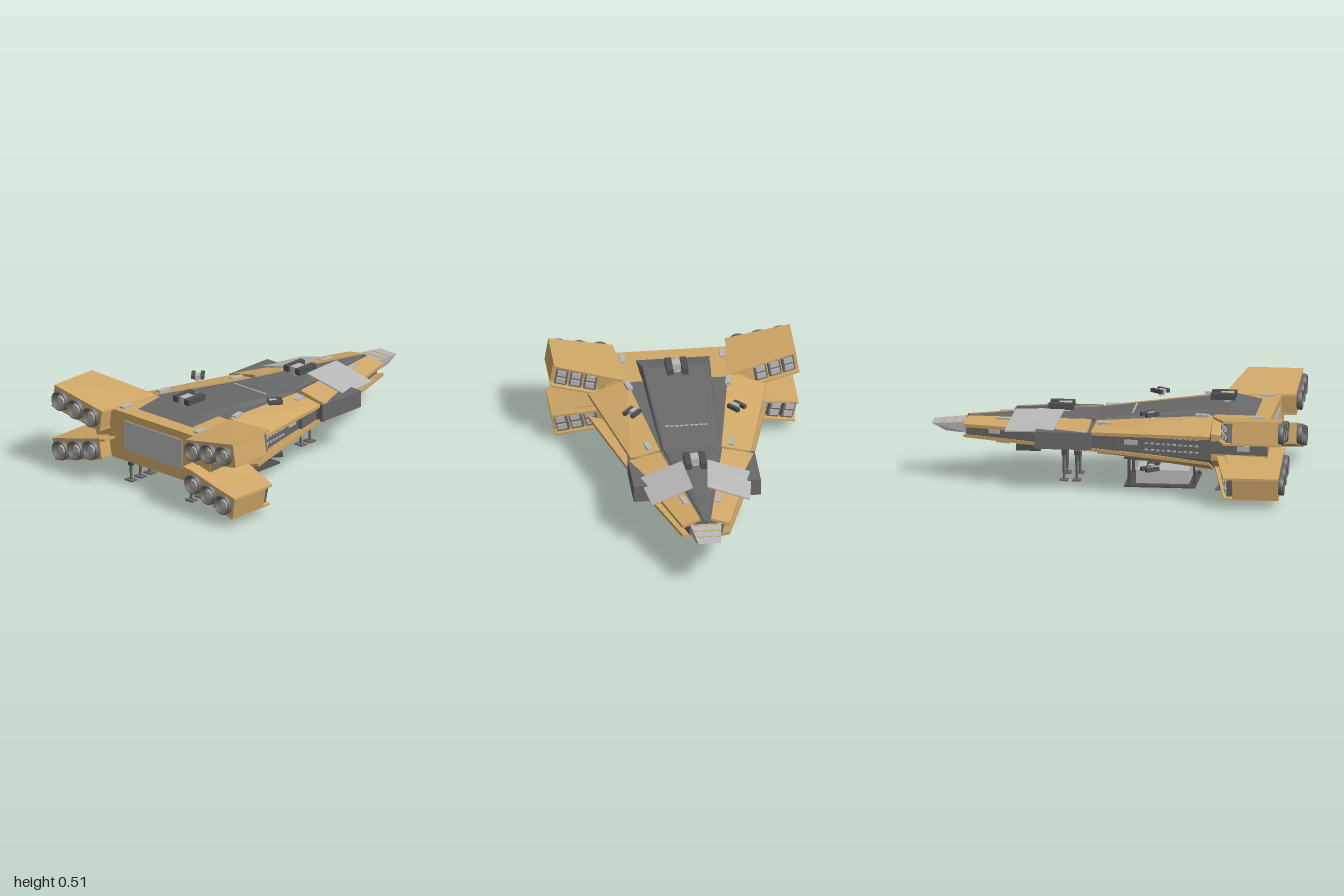
import * as THREE from 'three';
import { ConvexGeometry } from 'three/addons/geometries/ConvexGeometry.js';

const mat = (name, color) => {
  const m = new THREE.MeshStandardMaterial({ color });
  m.name = name;
  return m;
};
const MID = 0.285; // height of the hull's plane of symmetry

export function createModel() {
  const tan = mat('tan armour', 0xd0a868), grey = mat('hull grey', 0x696969);
  const dark = mat('dark grey', 0x505050), silver = mat('silver', 0xb8b8b8);
  const ship = new THREE.Group();
  ship.name = 'spaceship';

  const add = (name, geo, m, x = 0, y = 0, z = 0, parent = ship) => {
    const mesh = new THREE.Mesh(geo, m);
    mesh.name = name;
    mesh.position.set(x, y, z);
    parent.add(mesh);
    return mesh;
  };
  const box = (name, w, h, d, m, x, y, z, parent) => add(name, new THREE.BoxGeometry(w, h, d), m, x, y, z, parent);
  // Faceted solid around a few corners; sx and sy mirror it
  const solid = (name, pts, m, sx = 1, sy = 1) => add(name,
    new ConvexGeometry(pts.map(([x, y, z]) => new THREE.Vector3(x * sx, MID + (y - MID) * sy, z))), m);
  // Thin plate below four top corners
  const plate = (name, pts, t, m, sx, sy) => solid(name, [...pts, ...pts.map(([x, y, z]) => [x, y - t, z])], m, sx, sy);
  const four = (fn) => { for (const sx of [1, -1]) for (const sy of [1, -1]) fn(sx, sy); };

  // Core hull: octagonal sections [z, top half width, top y, side half width, side y]
  const ring = ([z, tx, ty, wx, wy]) => {
    const out = [];
    for (const s of [1, -1]) out.push([s * tx, ty, z], [s * wx, wy, z], [s * wx, 2 * MID - wy, z], [s * tx, 2 * MID - ty, z]);
    return out;
  };
  const R = [[0.885, 0.31, 0.425, 0.425, 0.325], [0.57, 0.29, 0.422, 0.4, 0.36],
    [-0.1, 0.17, 0.36, 0.28, 0.335], [-0.81, 0.03, 0.333, 0.09, 0.315]].map(ring);
  solid('rearHull', [...R[0], ...R[1]], tan);
  solid('midHull', [...R[1], ...R[2]], grey);
  solid('foreHull', [...R[2], ...R[3]], grey);
  box('rearDoor', 0.43, 0.17, 0.008, silver, 0, 0.295, 0.887);

  // Raised dark spine along the back
  solid('spine', [[0.205, 0.42, 0.81], [-0.205, 0.42, 0.81], [0.18, 0.46, 0.65], [-0.18, 0.46, 0.65],
    [0.2, 0.41, 0.65], [-0.2, 0.41, 0.65], [0.14, 0.4, 0.1], [-0.14, 0.4, 0.1],
    [0.165, 0.35, -0.1], [-0.165, 0.35, -0.1], [0.15, 0.373, -0.09], [-0.15, 0.373, -0.09]], grey);
  solid('foreSpine', [[0.15, 0.373, -0.09], [-0.15, 0.373, -0.09], [0.15, 0.34, -0.09], [-0.15, 0.34, -0.09],
    [0.06, 0.385, -0.3], [-0.06, 0.385, -0.3], [0.012, 0.342, -0.81], [-0.012, 0.342, -0.81],
    [0.012, 0.32, -0.81], [-0.012, 0.32, -0.81]], grey);
  for (let i = 0; i < 9; i++) box('spineLight', 0.02, 0.006, 0.01, silver, -0.108 + i * 0.027, 0.401, 0.11);

  // Armour plates above and below, with small raised hatches
  four((sx, sy) => {
    plate('rearArmour', [[0.17, 0.37, -0.08], [0.33, 0.338, -0.1], [0.49, 0.365, 0.57], [0.28, 0.437, 0.57]], 0.018, tan, sx, sy);
    plate('foreArmour', [[0.03, 0.347, -0.8], [0.13, 0.322, -0.82], [0.35, 0.336, -0.12], [0.17, 0.376, -0.11]], 0.018, tan, sx, sy);
    for (const [x, y, z, a] of [[0.23, 0.366, -0.03, 0.2], [0.275, 0.434, 0.51, 0.2], [0.275, 0.426, 0.81, 0], [0.095, 0.347, -0.6, 0.25]]) {
      const h = box('hatch', 0.03, 0.016, 0.075, silver, sx * x, MID + sy * (y - MID), z);
      h.rotation.y = sx * a;
    }
  });

  // Flanks: window rows, light panels, bands and gun housings
  for (const s of [1, -1]) {
    const wallX = (z) => 0.2985 + 0.179 * z;
    for (let r = 0; r < 3; r++) for (let i = 0; i < 10; i++) {
      const z = 0.21 + i * 0.031;
      box('window', 0.008, 0.009, 0.02, silver, s * wallX(z), 0.25 + r * 0.036, z).rotation.y = s * 0.177;
    }
    box('flankLight', 0.008, 0.028, 0.075, silver, s * wallX(0.12), MID, 0.12).rotation.y = s * 0.177;
    box('foreLight', 0.008, 0.024, 0.065, silver, s * 0.134, MID, -0.65).rotation.y = s * 0.262;
    solid('flankBand', [0.25, 0.32].flatMap((y) => [[0.428, y, 0.884], [0.403, y, 0.571], [0.39, y, 0.571], [0.39, y, 0.884]]), grey, s);
    box('rearLight', 0.008, 0.028, 0.07, silver, s * 0.42, MID, 0.75).rotation.y = s * 0.08;
    box('gunHousing', 0.1, 0.095, 0.31, grey, s * 0.3, 0.29, -0.25);
    box('gunMount', 0.08, 0.1, 0.2, grey, s * 0.275, MID, -0.04).rotation.y = s * 0.177;
    // Tilted panels over the fore hull
    plate('solarPanel', [[0.04, 0.395, -0.54], [0.27, 0.322, -0.58], [0.31, 0.335, -0.31], [0.07, 0.405, -0.27]], 0.007, silver, s);
  }

  // Striped nose wedge
  solid('nose', [1, -1].flatMap((s) => [[s * 0.085, 0.322, -0.815], [s * 0.085, 0.262, -0.8],
    [s * 0.062, 0.307, -1], [s * 0.066, 0.268, -0.92]]), silver);
  for (const z of [-0.825, -0.88, -0.935]) {
    const t = (-0.815 - z) / 0.185;
    const strip = box('noseStripe', 0.168 - 0.046 * t, 0.004, 0.008, tan, 0, 0.322 - 0.015 * t, z);
    strip.rotation.x = -0.08;
  }

  // Engine pods: corners run inner bottom, inner top, outer top, outer bottom
  const nozzleGeo = new THREE.LatheGeometry([[0.046, -0.03], [0.056, 0], [0.056, 0.022], [0.047, 0.025], [0.036, -0.005], [0, -0.005]]
    .map(([r, y]) => new THREE.Vector2(r, y)), 20);
  const coreGeo = new THREE.CylinderGeometry(0.02, 0.028, 0.014, 16);
  const pods = [
    { c: [[0.33, 0.31], [0.315, 0.425], [0.665, 0.49], [0.685, 0.365]], n: [[0.382, 0.383], [0.496, 0.4], [0.61, 0.418]], up: 1 },
    { c: [[0.315, 0.15], [0.335, 0.265], [0.68, 0.175], [0.66, 0.055]], n: [[0.382, 0.19], [0.494, 0.16], [0.606, 0.13]], up: -1 },
  ];
  for (const s of [1, -1]) for (const { c, n, up } of pods) {
    const zf = [0.63, 0.63, 0.715, 0.715];
    solid('enginePod', [...c.map(([x, y]) => [x, y, 0.965]), ...c.map(([x, y], i) => [x, y, zf[i]])], tan, s);
    const [a, b, d, e] = c;
    plate('podRoof', [[a[0] - 0.02, b[1] + 0.004, 0.965], [0.27, b[1] + 0.002, 0.57], [d[0], d[1] + 0.004, 0.665], [d[0], d[1] + 0.004, 0.968]], 0.012, tan, s);
    plate('podFloor', [[a[0], a[1] + 0.008, 0.965], [0.3, a[1] + 0.008, 0.58], [e[0], e[1] + 0.008, 0.665], [e[0], e[1] + 0.008, 0.968]], 0.01, tan, s);
    const tilt = Math.atan2(n[2][1] - n[0][1], n[2][0] - n[0][0]);
    for (const [x, y] of n) {
      const g = new THREE.Group();
      g.name = 'nozzle';
      g.position.set(s * x, y, 0.97);
      g.rotation.x = Math.PI / 2;
      ship.add(g);
      add('nozzleBell', nozzleGeo, grey, 0, 0, 0, g);
      add('nozzleCore', coreGeo, silver, 0, 0.002, 0, g);
    }
    // Forward intakes on the outer half of each pod
    for (let i = 0; i < 3; i++) {
      const x = 0.465 + i * 0.078;
      const g = new THREE.Group();
      g.name = 'intake';
      g.position.set(s * x, n[1][1] + (x - n[1][0]) * Math.tan(tilt), 0.665 + (x - 0.465) * 0.2);
      g.rotation.set(0, -s * 0.2, s * tilt);
      ship.add(g);
      box('intakeFrame', 0.068, 0.1, 0.05, grey, 0, 0, 0.005, g);
      box('intakeVent', 0.05, 0.03, 0.012, silver, 0, 0.022 * up, -0.024, g);
      box('intakeSlat', 0.05, 0.03, 0.012, silver, 0, -0.022 * up, -0.024, g);
    }
  }

  // Gun turrets; barrels point to the nose
  const turret = (x, y, z, k, flip = 1, turn = 0) => {
    const g = new THREE.Group();
    g.name = 'turret';
    g.position.set(x, y, z);
    g.scale.setScalar(k);
    g.rotation.set(0, turn, flip < 0 ? Math.PI : 0);
    ship.add(g);
    add('turretBase', new THREE.CylinderGeometry(0.025, 0.03, 0.03, 12), silver, 0, 0.01, 0, g);
    box('turretHead', 0.045, 0.032, 0.07, silver, 0, 0.035, 0, g);
    for (const s of [1, -1]) box('turretGun', 0.034, 0.034, 0.135, dark, s * 0.042, 0.035, -0.02, g);
  };
  turret(0, 0.455, 0.62, 1);
  turret(0, 0.38, -0.27, 1);
  turret(0, 0.215, -0.45, 1, -1);
  for (const s of [1, -1]) {
    turret(s * 0.28, 0.418, 0.23, 0.6, 1, -s * 0.7);
    turret(s * 0.28, 0.152, 0.23, 0.6, -1, -s * 0.7);
    turret(s * 0.15, 0.15, 0.24, 0.5, -1);
  }

  // Landing legs with flat feet
  const leg = (x, z, top) => {
    add('leg', new THREE.CylinderGeometry(0.012, 0.006, top - 0.015, 8), grey, x, (top + 0.015) / 2, z);
    box('foot', 0.055, 0.008, 0.045, grey, x, 0.014, z);
    box('legSleeve', 0.026, 0.06, 0.026, dark, x, top - 0.03, z);
  };
  for (const s of [1, -1]) {
    for (const z of [0.6, 0.675, 0.75, 0.825]) leg(s * 0.225, z, 0.16);
    for (const z of [-0.2, -0.27]) leg(s * 0.09, z, 0.215);
  }

  // Lowered cargo lift with its crate
  box('liftBay', 0.38, 0.01, 0.4, dark, 0, 0.152, 0.27).rotation.x = 0.07;
  box('liftPlatform', 0.37, 0.01, 0.39, dark, 0, 0.007, 0.265);
  for (const x of [-0.125, 0.125]) for (const z of [0.09, 0.45]) box('liftPost', 0.018, 0.17, 0.014, dark, x, 0.09, z);
  box('crate', 0.235, 0.075, 0.29, silver, -0.012, 0.05, 0.275);
  return ship;
}
